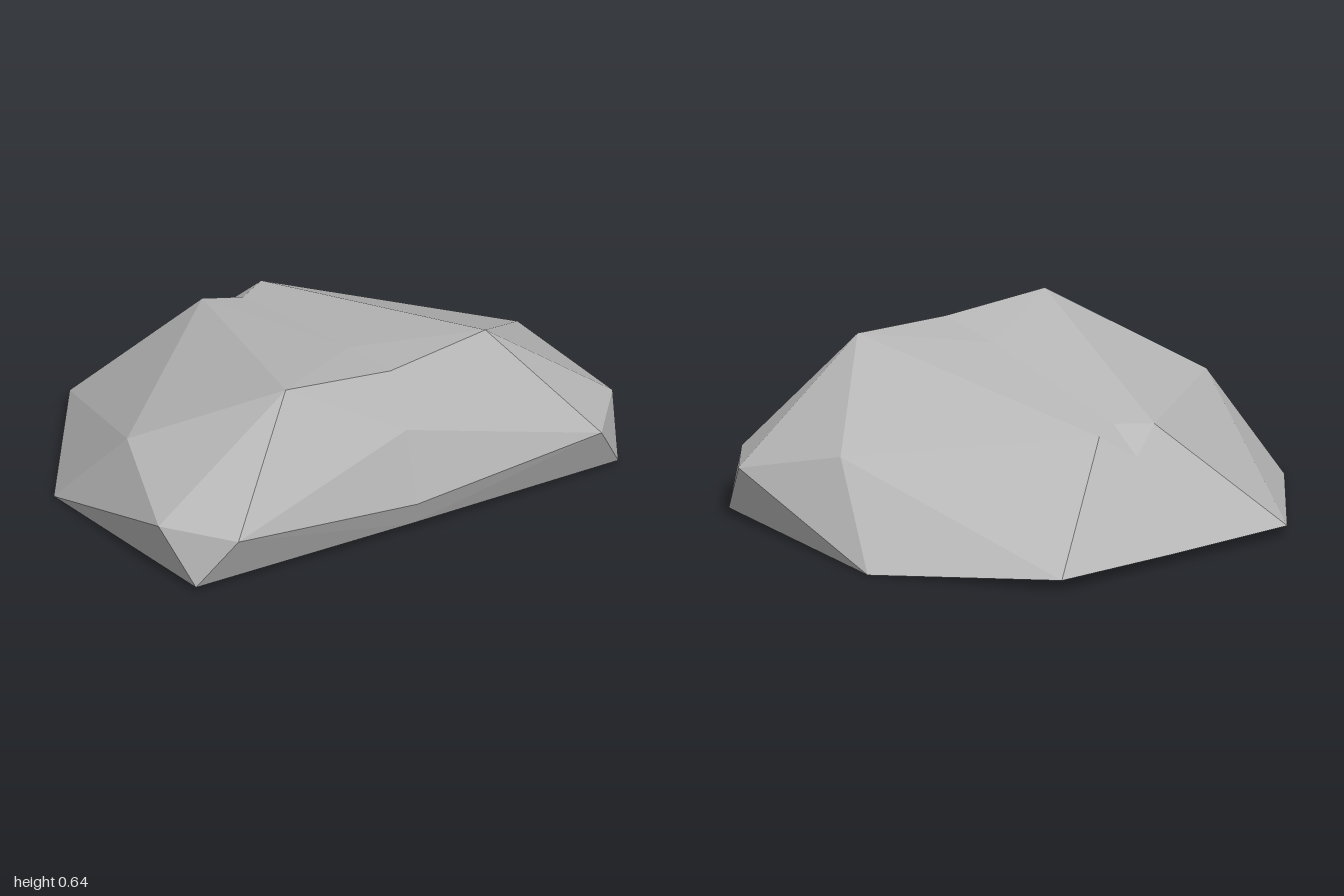
import * as THREE from 'three';

// Corner points of the left half; x = 0 points lie on the mirror plane
const P = {
  crestFront: [0.44, 0.64, 0.56], crestMid: [0, 0.61, 0.595], dip: [0, 0.58, 0.31],
  faceMid: [0, 0.41, 0.705], lipMid: [0, 0.13, 0.78], lip: [0.8, 0.21, 0.8],
  cheek: [1, 0.225, 0.56], shoulder: [0.86, 0.355, 0.12],
  peakBack: [0.13, 0.45, -0.51], notchTop: [0, 0.455, -0.43], notchLow: [0, 0.36, -0.57],
  footFront: [0.93, 0.015, 0.71], footMid: [0, 0.03, 0.74], footSide: [0.98, 0, -0.2],
  footBack: [0.53, 0.045, -0.8], backMid: [0, 0.04, -0.795], baseMid: [0, 0.005, -0.2],
};

// Facets of the left half, grouped by part
const parts = {
  rockTop: [
    ['crestFront', 'crestMid', 'dip'], ['crestFront', 'dip', 'peakBack'],
    ['dip', 'notchTop', 'peakBack'], ['crestFront', 'shoulder', 'peakBack'],
    ['peakBack', 'notchTop', 'notchLow'],
  ],
  rockFront: [
    ['crestFront', 'crestMid', 'faceMid'], ['crestFront', 'faceMid', 'lip'],
    ['lip', 'faceMid', 'lipMid'], ['lip', 'lipMid', 'footMid'], ['lip', 'footMid', 'footFront'],
  ],
  rockSides: [
    ['crestFront', 'lip', 'cheek'], ['crestFront', 'cheek', 'shoulder'],
    ['cheek', 'shoulder', 'footSide'], ['lip', 'cheek', 'footFront'],
    ['cheek', 'footFront', 'footSide'], ['shoulder', 'footSide', 'footBack'],
  ],
  rockBack: [
    ['shoulder', 'footBack', 'peakBack'], ['peakBack', 'notchLow', 'footBack'],
    ['notchLow', 'backMid', 'footBack'],
  ],
  rockBase: [
    ['footMid', 'footFront', 'baseMid'], ['footFront', 'footSide', 'baseMid'],
    ['footSide', 'footBack', 'baseMid'], ['footBack', 'backMid', 'baseMid'],
  ],
};

const core = new THREE.Vector3(0, 0.2, 0);

// Mirrors every facet and turns each one outward from the core
function facetGeometry(facets) {
  const positions = [];
  for (const side of [1, -1]) {
    for (const names of facets) {
      const [a, b, c] = names.map((n) => new THREE.Vector3(P[n][0] * side, P[n][1], P[n][2]));
      const normal = b.clone().sub(a).cross(c.clone().sub(a));
      const outward = normal.dot(a.clone().sub(core)) > 0;
      for (const v of outward ? [a, b, c] : [a, c, b]) positions.push(v.x, v.y, v.z);
    }
  }
  const geometry = new THREE.BufferGeometry();
  geometry.setAttribute('position', new THREE.Float32BufferAttribute(positions, 3));
  geometry.computeVertexNormals();
  return geometry;
}

export function createModel() {
  const group = new THREE.Group();
  group.name = 'rock';
  const stone = new THREE.MeshStandardMaterial({ color: 0xb8b8b8 });
  stone.name = 'stone grey';
  for (const [name, facets] of Object.entries(parts)) {
    const mesh = new THREE.Mesh(facetGeometry(facets), stone);
    mesh.name = name;
    group.add(mesh);
  }
  return group;
}
